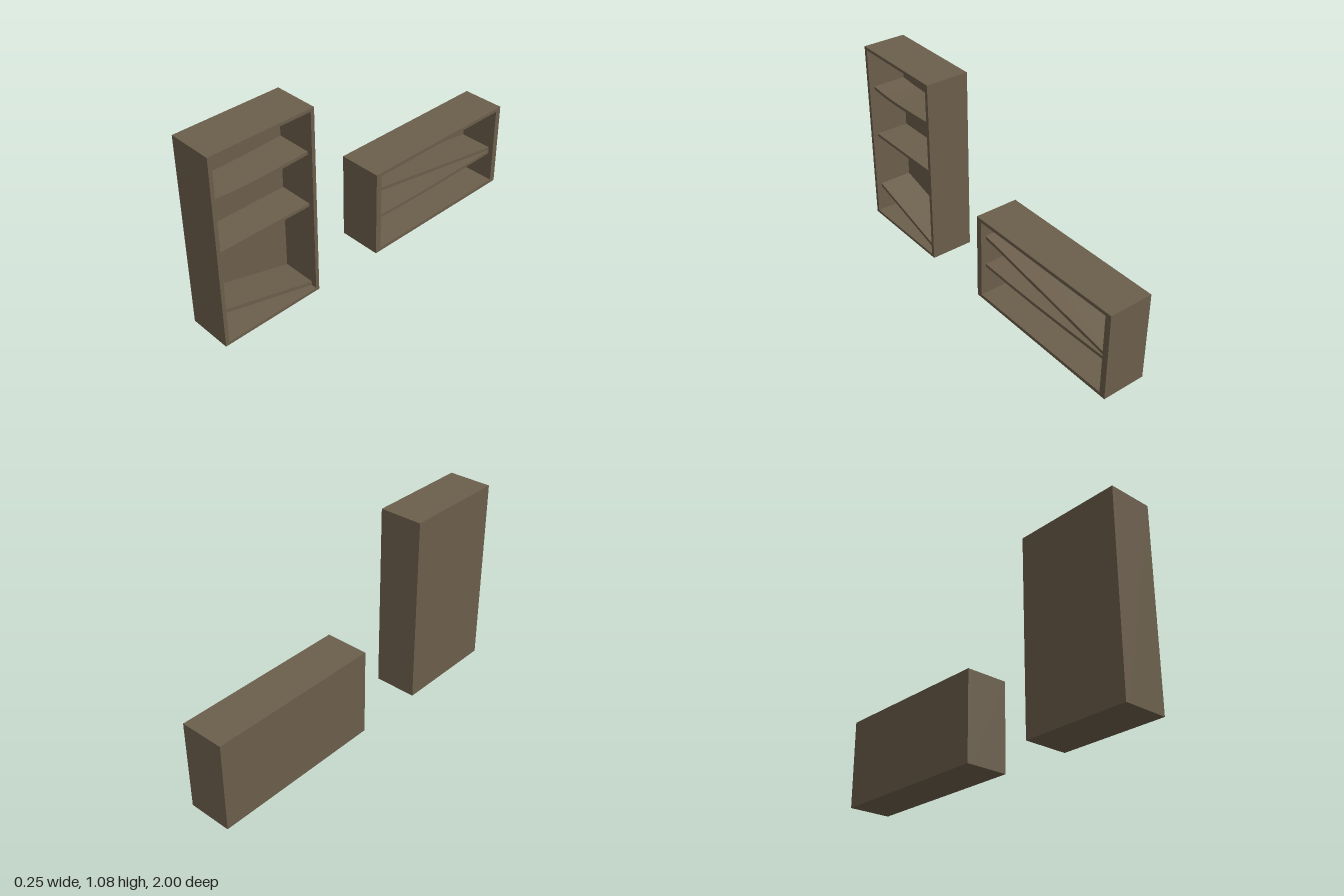
import * as THREE from 'three';

const wood = new THREE.MeshStandardMaterial({ color: 0x6b5e4b });
wood.name = 'dull brown wood';

const FRONT = 0.125, BACK = -0.125, INNER_BACK = -0.1, SHELF_FRONT = 0.095;

// Extrudes a (z, y) outline along x, from xBack to xFront
function extrudeAcross(shape, xBack, xFront, name) {
  const geo = new THREE.ExtrudeGeometry(shape, { depth: xFront - xBack, bevelEnabled: false });
  geo.rotateY(-Math.PI / 2).translate(xFront, 0, 0);
  const mesh = new THREE.Mesh(geo, wood);
  mesh.name = name;
  return mesh;
}

function rectPoints(z0, z1, y0, y1) {
  return [[z0, y0], [z1, y0], [z1, y1], [z0, y1]].map(([z, y]) => new THREE.Vector2(z, y));
}

// Open case: a frame around the opening plus a back panel
function makeCase(name, z0, z1, height, side, board) {
  const group = new THREE.Group();
  group.name = name;
  const outline = new THREE.Shape(rectPoints(z0, z1, 0, height));
  outline.holes.push(new THREE.Path(rectPoints(z0 + side, z1 - side, board, height - board).reverse()));
  group.add(extrudeAcross(outline, INNER_BACK, FRONT, 'frame'));
  const panel = new THREE.Shape(rectPoints(z0, z1, 0, height));
  group.add(extrudeAcross(panel, BACK, INNER_BACK, 'backPanel'));
  return group;
}

// Shelf board following [z, y] points along its underside
function makeShelf(name, underside, thickness) {
  const bottom = underside.map(([z, y]) => new THREE.Vector2(z, y));
  const top = underside.map(([z, y]) => new THREE.Vector2(z, y + thickness)).reverse();
  return extrudeAcross(new THREE.Shape([...bottom, ...top]), INNER_BACK, SHELF_FRONT, name);
}

export function createModel() {
  const model = new THREE.Group();
  model.name = 'brokenBookcases';

  // Tall case standing upright
  const tall = makeCase('tallBookcase', 0.4, 1, 1.08, 0.021, 0.017);
  tall.add(
    makeShelf('saggingShelf', [[0.42, 0.817], [0.63, 0.808], [0.78, 0.805], [0.87, 0.808], [0.98, 0.817]], 0.018),
    makeShelf('levelShelf', [[0.42, 0.518], [0.98, 0.518]], 0.017),
    makeShelf('fallenShelf', [[0.42, 0.021], [0.98, 0.177]], 0.02),
  );

  // Low case lying on its long side
  const low = makeCase('lowBookcase', -1, -0.01, 0.506, 0.035, 0.02);
  low.add(
    makeShelf('slantedShelf', [[-0.965, 0.215], [-0.045, 0.371]], 0.019),
    makeShelf('bowedShelf', [[-0.965, 0.192], [-0.65, 0.186], [-0.42, 0.184], [-0.25, 0.186], [-0.045, 0.192]], 0.018),
  );

  model.add(tall, low);
  return model;
}
